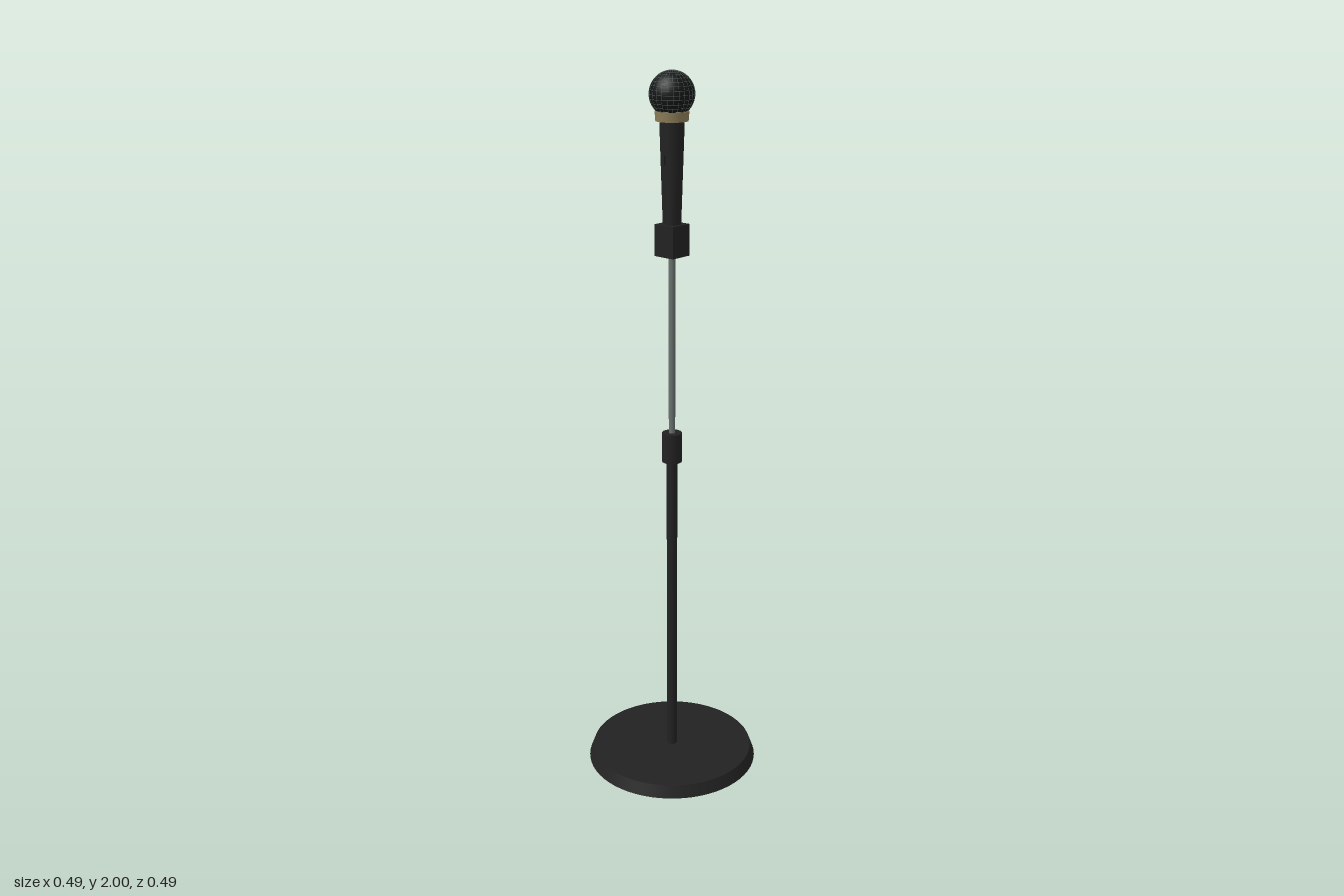
import * as THREE from 'three';

export function createModel() {
  const model = new THREE.Group();
  model.name = 'microphoneStand';

  const material = (name, color) => {
    const m = new THREE.MeshStandardMaterial({ color });
    m.name = name;
    return m;
  };
  const black = material('matteBlack', 0x222222);
  const steel = material('steel', 0x69716f);
  const brass = material('brass', 0x8c7d58);
  const foam = material('grilleFoam', 0x141616);
  const wire = material('grilleWire', 0x56605d);

  const add = (name, geometry, mat, y = 0, parent = model) => {
    const mesh = new THREE.Mesh(geometry, mat);
    mesh.name = name;
    mesh.position.y = y;
    parent.add(mesh);
    return mesh;
  };
  // Tapered round part spanning y0 to y1
  const round = (name, r0, r1, y0, y1, mat, sides = 32) =>
    add(name, new THREE.CylinderGeometry(r1, r0, y1 - y0, sides), mat, (y0 + y1) / 2);

  // Weighted base and telescopic pole
  round('base', 0.247, 0.234, 0, 0.035, black, 64);
  round('lowerPole', 0.015, 0.015, 0.03, 0.95, black);
  round('heightClutch', 0.028, 0.028, 0.938, 1.022, black);
  round('upperRod', 0.009, 0.009, 1.0, 1.54, steel, 24);

  // Square holder and microphone body
  add('holder', new THREE.BoxGeometry(0.065, 0.085, 0.065), black, 1.5625);
  round('handle', 0.023, 0.033, 1.56, 1.875, black);
  round('collar', 0.043, 0.045, 1.872, 1.897, brass);
  add('switch', new THREE.BoxGeometry(0.008, 0.022, 0.008), black, 1.775).position.z = 0.0315;

  // Ball grille: dark core wrapped in fine wires
  const grille = new THREE.Group();
  grille.name = 'grille';
  grille.position.y = 1.94;
  model.add(grille);
  const R = 0.0595;
  add('grilleCore', new THREE.SphereGeometry(R - 0.0002, 48, 32), foam, 0, grille);
  const wireRadius = 0.0005;
  for (let i = 0; i < 12; i++) {
    const meridian = add('grilleMeridian', new THREE.TorusGeometry(R, wireRadius, 5, 64), wire, 0, grille);
    meridian.rotation.y = (i / 12) * Math.PI;
  }
  for (let i = 1; i < 16; i++) {
    const a = (i / 16) * Math.PI;
    const ring = add('grilleRing', new THREE.TorusGeometry(R * Math.sin(a), wireRadius, 5, 64),
      wire, R * Math.cos(a), grille);
    ring.rotation.x = Math.PI / 2;
  }

  return model;
}
